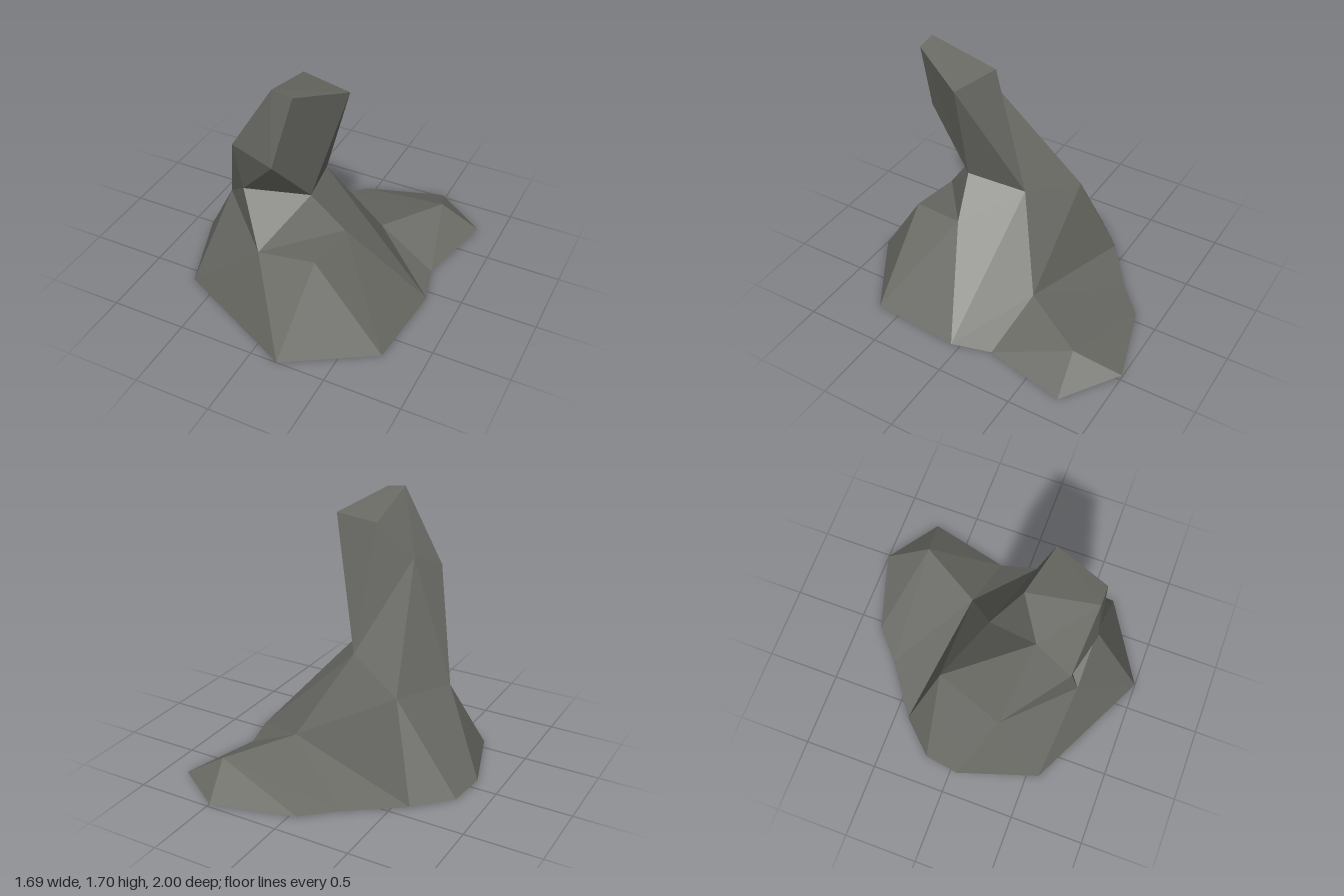
import * as THREE from 'three';

// Corner points of the rock, grouped by region
const points = {
  // ground rim, counter-clockwise from the front tip
  B0: [0.18, 0, 1], B1: [0.73, 0, 0.66], B2: [0.78, 0, 0.06], B3: [0.71, 0, -0.2],
  B4: [0.84, 0.01, -0.75], B5: [0.48, 0.02, -1], B6: [-0.05, 0.01, -0.84], B7: [-0.25, 0.01, -0.66],
  B8: [-0.6, 0.01, -0.41], B9: [-0.81, 0.01, -0.19], B10: [-0.85, 0.03, 0.05], B11: [-0.67, 0, 0.58],
  // ridge of the low rear spur
  T1: [0.31, 0.2, -0.27], T2: [0.58, 0.17, -0.71],
  // shoulders and ledge
  M1: [0.3, 0.57, 0.3], M2: [0.26, 0.55, 0.64], M3: [-0.13, 0.485, 0.64], M4: [-0.55, 0.555, 0.24],
  W: [-0.4, 0.62, -0.22],
  // neck
  N1: [-0.33, 0.785, 0.45], N2: [0.09, 0.805, 0.35], R: [0.01, 0.75, -0.03],
  // leaning pillar and its top
  P1: [-0.3, 1.215, 0.6], P2: [0, 1.18, 0.67], V: [-0.22, 1.33, 0.35],
  Q1: [0, 1.695, 0.64], Q2: [0.13, 1.675, 0.64], Q3: [0.31, 1.565, 0.28], Q4: [-0.03, 1.57, 0.2],
};

// Each fan is a hub corner followed by its neighbours, counter-clockwise from outside
function facets(name, material, fans) {
  const positions = [];
  for (const fan of fans) {
    const [hub, ...ring] = fan.split(' ').map((key) => points[key]);
    for (let i = 0; i < ring.length - 1; i++) positions.push(...hub, ...ring[i], ...ring[i + 1]);
  }
  const geometry = new THREE.BufferGeometry();
  geometry.setAttribute('position', new THREE.Float32BufferAttribute(positions, 3));
  geometry.computeVertexNormals(); // unshared corners give flat facets
  const mesh = new THREE.Mesh(geometry, material);
  mesh.name = name;
  return mesh;
}

export function createModel() {
  const stone = new THREE.MeshStandardMaterial({ color: 0x6a6a65 });
  stone.name = 'stone';
  stone.side = THREE.DoubleSide; // the rock is hollow and open underneath

  const rock = new THREE.Group();
  rock.name = 'rock';
  rock.add(
    // wide foot with the front ledge
    facets('rockBase', stone, [
      'M2 B0 B1 M1 M3 B0',
      'M1 B1 B2 R N2 M3',
      'M3 N2 N1 M4 B11 B0',
      'M4 N1 P1 V W B10 B11',
      'W V R T1 B8 B9 B10',
    ]),
    // low spur running out at the back
    facets('rearSpur', stone, [
      'T1 R B2 B3 T2 B7 B8',
      'T2 B3 B4 B5 B6 B7',
    ]),
    // leaning upright pillar
    facets('pillar', stone, [
      'P1 N1 P2 Q1 V',
      'P2 N1 N2 Q2 Q1',
      'Q3 N2 R Q4 Q1 Q2 N2',
      'V Q1 Q4 R',
    ]),
  );
  return rock;
}
